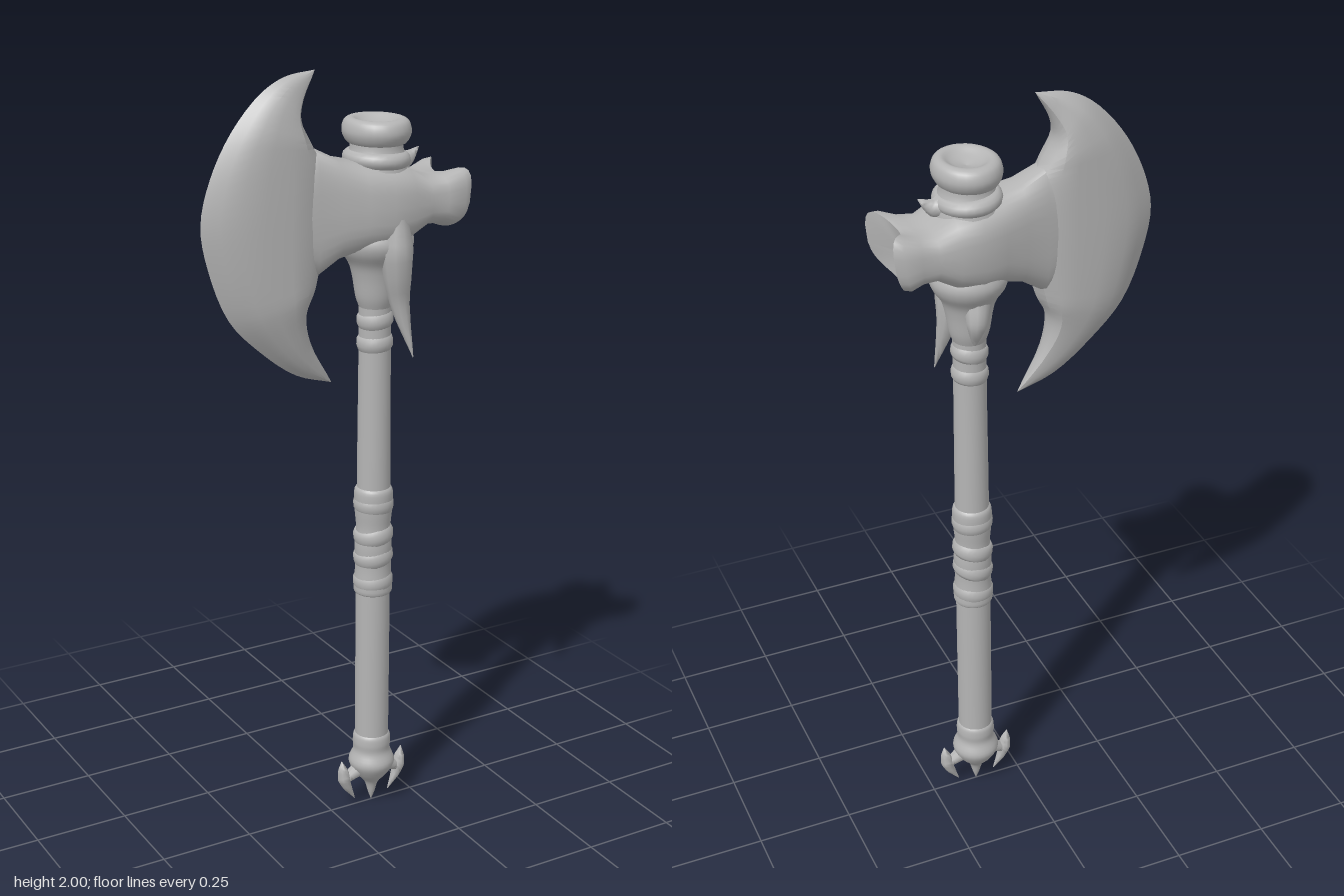
import * as THREE from 'three';
import { toCreasedNormals } from 'three/addons/utils/BufferGeometryUtils.js';

const AXIS = 0.125; // x of the shaft
const V = (x, y, z = 0) => new THREE.Vector3(x, y, z);

// Skin over a list of equal-sized rings, closed at both ends, facing outward
function loft(rings, crease = 0.8) {
  const n = rings[0].length, pts = rings.flat(), idx = [];
  for (let i = 0; i < rings.length - 1; i++) {
    for (let j = 0; j < n; j++) {
      const a = i * n + j, b = i * n + (j + 1) % n;
      idx.push(a, b, a + n, b, b + n, a + n);
    }
  }
  const cap = (start, flip) => {
    const c = V(0, 0);
    for (let j = 0; j < n; j++) c.addScaledVector(pts[start + j], 1 / n);
    const k = pts.push(c) - 1;
    for (let j = 0; j < n; j++) {
      const a = start + j, b = start + (j + 1) % n;
      flip ? idx.push(k, b, a) : idx.push(k, a, b);
    }
  };
  const last = (rings.length - 1) * n;
  cap(0, true);
  cap(last, false);
  let volume = 0;
  for (let i = 0; i < idx.length; i += 3) {
    volume += pts[idx[i]].dot(V(0, 0).crossVectors(pts[idx[i + 1]], pts[idx[i + 2]]));
  }
  if (volume < 0) idx.reverse();
  const g = new THREE.BufferGeometry().setFromPoints(pts);
  g.setIndex(idx);
  return toCreasedNormals(g, crease);
}

// Smoothly tapered horn along a path; radii spread evenly along it
function horn(points, radii, flat = 1) {
  const curve = new THREE.CatmullRomCurve3(points), steps = 16, n = 10;
  const frames = curve.computeFrenetFrames(steps);
  const rings = [];
  for (let i = 0; i <= steps; i++) {
    const f = i / steps * (radii.length - 1), k = Math.min(Math.floor(f), radii.length - 2);
    const r = THREE.MathUtils.lerp(radii[k], radii[k + 1], f - k);
    const p = curve.getPoint(i / steps);
    rings.push(Array.from({ length: n }, (_, j) => {
      const a = j / n * Math.PI * 2;
      return p.clone().addScaledVector(frames.normals[i], Math.cos(a) * r)
        .addScaledVector(frames.binormals[i], Math.sin(a) * r * flat);
    }));
  }
  return loft(rings, 1.2);
}

// Turned part from [radius, y] pairs, smoothed
function turned(profile, smooth = 4) {
  const c = new THREE.SplineCurve(profile.map(p => new THREE.Vector2(...p)));
  const pts = c.getPoints(profile.length * smooth);
  pts.forEach(p => { p.x = Math.max(p.x, 0); });
  return new THREE.LatheGeometry(pts, 28);
}

export function createModel() {
  const model = new THREE.Group();
  const metal = new THREE.MeshStandardMaterial({ color: 0xb4b4b4 });
  metal.name = 'plain grey';
  const add = (name, geometry, x = 0) => {
    const mesh = new THREE.Mesh(geometry, metal);
    mesh.name = name;
    mesh.position.x = x;
    model.add(mesh);
    return mesh;
  };

  // Shaft
  add('shaft', turned([[0.045, 0.17], [0.045, 0.6], [0.043, 1.0], [0.041, 1.3], [0.042, 1.6]]), AXIS);

  // Grip wrapping: uneven sleeve with slanting bands
  add('gripWrap', turned([[0.04, 0.625], [0.051, 0.635], [0.047, 0.7], [0.049, 0.76], [0.045, 0.81],
    [0.049, 0.86], [0.05, 0.91], [0.04, 0.925]]), AXIS);
  const band = (name, y, radius, thick, tilt) => {
    const m = add(name, new THREE.TorusGeometry(radius, thick, 10, 28).rotateX(Math.PI / 2), AXIS);
    m.position.y = y;
    m.scale.y = 1.8;
    m.rotation.z = tilt;
  };
  [[0.66, 0.2], [0.73, 0.35], [0.79, 0.3], [0.875, -0.1]].forEach(([y, t]) => band('gripBand', y, 0.039, 0.014, t));
  [[1.31, 0.15], [1.37, 0.25], [1.43, -0.2]].forEach(([y, t]) => band('upperBand', y, 0.034, 0.013, t));

  // Pommel with centre spike
  add('pommel', turned([[0, 0], [0.009, 0.025], [0.02, 0.06], [0.045, 0.09], [0.062, 0.125],
    [0.05, 0.16], [0.051, 0.185], [0.049, 0.205], [0.042, 0.215]]), AXIS);

  // Crescent claws on both sides of the pommel
  for (const s of [-1, 1]) {
    add('pommelClaw', horn([V(s * 0.093, 0.14), V(s * 0.088, 0.105), V(s * 0.08, 0.07), V(s * 0.052, 0.018)],
      [0.001, 0.013, 0.018, 0.012, 0.001]), AXIS);
    add('clawRoot', horn([V(s * 0.03, 0.11), V(s * 0.06, 0.095), V(s * 0.085, 0.08)], [0.024, 0.017, 0.012]), AXIS);
  }

  // Crescent blade: lens sections between cutting edge and inner edge
  const outer = new THREE.CatmullRomCurve3([V(-0.045, 2), V(-0.124, 1.99), V(-0.188, 1.957), V(-0.267, 1.873),
    V(-0.325, 1.767), V(-0.352, 1.66), V(-0.336, 1.555), V(-0.283, 1.42), V(-0.2, 1.33), V(-0.1, 1.255), V(0, 1.222)]);
  const inner = new THREE.CatmullRomCurve3([V(-0.045, 2), V(-0.082, 1.93), V(-0.09, 1.885), V(-0.06, 1.83),
    V(-0.03, 1.78), V(-0.02, 1.66), V(-0.03, 1.55), V(-0.05, 1.48), V(-0.077, 1.42), V(-0.066, 1.344), V(0, 1.222)]);
  const half = [[0, 0], [0.12, 0.42], [0.26, 0.8], [0.45, 0.9], [0.65, 1], [0.82, 0.95], [0.94, 0.6], [1, 0]];
  const section = [...half, ...half.slice(1, -1).reverse().map(([s, z]) => [s, -z])];
  const blade = [];
  for (let i = 0; i <= 40; i++) {
    const t = i / 40, o = outer.getPoint(t), e = inner.getPoint(t);
    const w = 0.056 * Math.min(1, Math.pow(Math.sin(Math.PI * t) * 1.25, 0.8));
    blade.push(section.map(([s, z]) => o.clone().lerp(e, s).setZ(z * w)));
  }
  add('blade', loft(blade, 0.6));

  // Head body from blade to two-horned poll: x, top, bottom, half depth, bend of the corners
  const stations = [[-0.2, 1.7, 1.6, 0.03, 0], [-0.13, 1.77, 1.54, 0.046, 0], [-0.06, 1.82, 1.5, 0.057, 0],
    [0, 1.79, 1.54, 0.068, 0], [0.06, 1.775, 1.558, 0.088, 0], [0.12, 1.77, 1.56, 0.104, 0],
    [0.18, 1.76, 1.575, 0.106, 0], [0.23, 1.73, 1.605, 0.099, 0], [0.262, 1.725, 1.605, 0.101, 0.015],
    [0.285, 1.725, 1.595, 0.108, 0.035], [0.295, 1.722, 1.595, 0.095, 0.06], [0.287, 1.67, 1.655, 0.006, 0]];
  const power = v => Math.sign(v) * Math.pow(Math.abs(v), 0.65);
  const head = stations.map(([x, top, bottom, depth, bend]) => Array.from({ length: 32 }, (_, j) => {
    const a = j / 32 * Math.PI * 2, u = power(Math.sin(a)), z = depth * power(Math.cos(a));
    const k = (z / 0.095) ** 2;
    const y = (top + bottom) / 2 + u * (top - bottom) / 2 + Math.max(u, 0) * bend * k * 1.1;
    return V(x + bend * k * (0.7 + 0.3 * u), y, z);
  }));
  add('headBody', loft(head, 0.9));

  // Socket funnel below the head
  add('socket', turned([[0.04, 1.4], [0.05, 1.43], [0.058, 1.48], [0.068, 1.515], [0.09, 1.55],
    [0.094, 1.58], [0.075, 1.62]]), AXIS);
  add('socketLip', horn([V(0.12, 1.53, -0.04), V(0.13, 1.47, -0.06), V(0.13, 1.41, -0.045)], [0.035, 0.025, 0.006]));

  // Long fang hanging on the front side
  add('frontFang', horn([V(0.14, 1.64, 0.075), V(0.142, 1.53, 0.075), V(0.155, 1.42, 0.07), V(0.18, 1.285, 0.094)],
    [0.03, 0.042, 0.034, 0.02, 0.001]));

  // Top neck, slanted collar with a small point, and dished cap
  add('topNeck', turned([[0.085, 1.73], [0.076, 1.77], [0.066, 1.8], [0.064, 1.83]]), AXIS);
  const collar = add('topCollar', new THREE.TorusGeometry(0.062, 0.02, 12, 28).rotateX(Math.PI / 2), AXIS);
  collar.position.y = 1.775;
  collar.rotation.z = -0.06;
  collar.scale.z = 1.1;
  add('collarPoint', horn([V(0.17, 1.765), V(0.21, 1.765), V(0.246, 1.79)], [0.034, 0.022, 0.001]));
  const cap = add('topCap', turned([[0.05, 1.812], [0.07, 1.815], [0.082, 1.84], [0.076, 1.866],
    [0.058, 1.874], [0.035, 1.862], [0, 1.852]]), AXIS);
  cap.scale.z = 1.15;

  return model;
}
